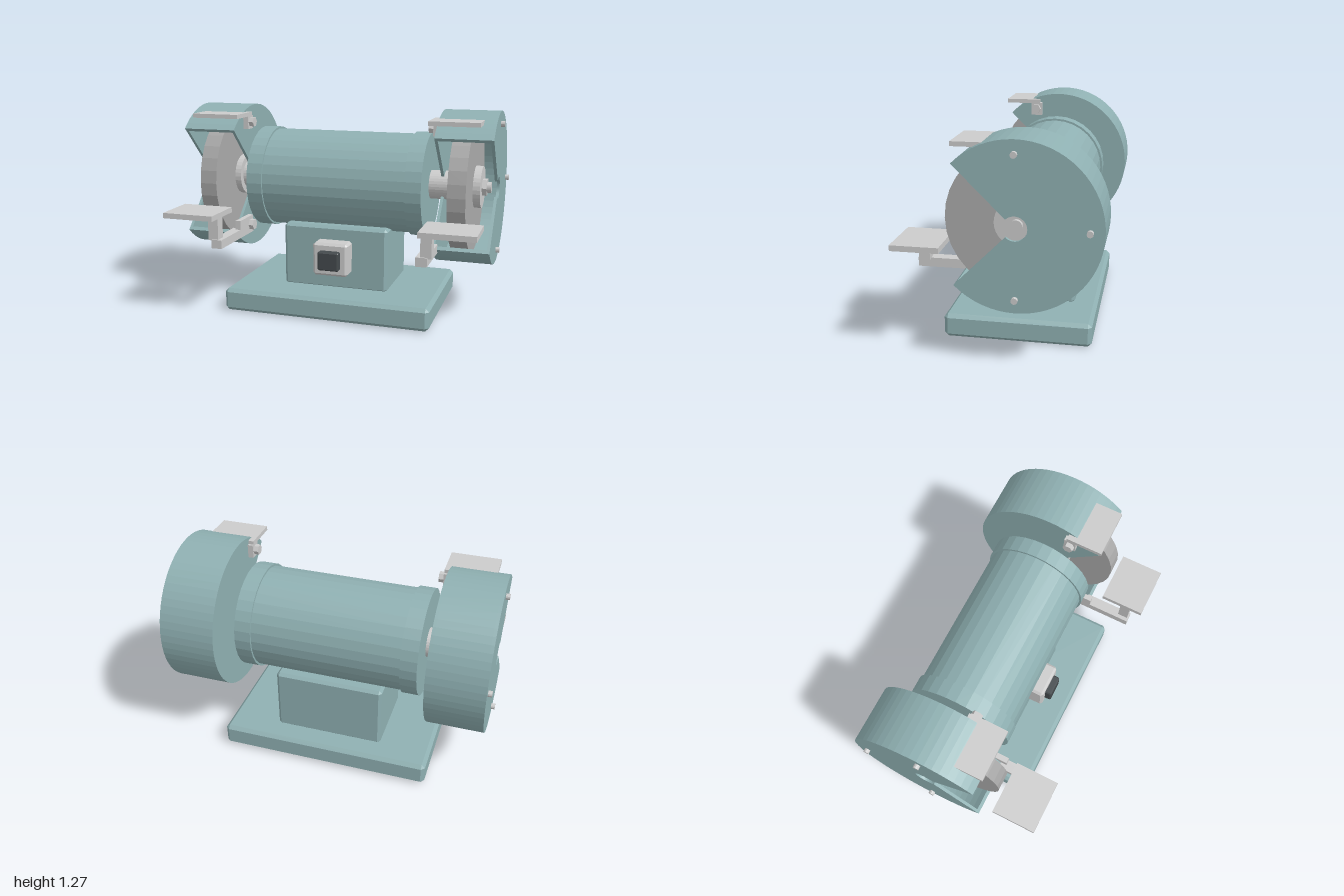
import * as THREE from 'three';
import { ConvexGeometry } from 'three/addons/geometries/ConvexGeometry.js';

const paint = (color) => new THREE.MeshStandardMaterial({ color, flatShading: true });
const GREY = paint(0xcccccc), STONE = paint(0xaaaaaa), TEAL = paint(0x8fb0b2), DARK = paint(0x444a4d);
const AXIS_Y = 0.8, AXIS_Z = -0.11;

function add(parent, name, geometry, material) {
  const mesh = new THREE.Mesh(geometry, material);
  mesh.name = name;
  parent.add(mesh);
  return mesh;
}

// Box given by its limits on each axis
function box(parent, name, [x0, x1], [y0, y1], [z0, z1], material = GREY) {
  const g = new THREE.BoxGeometry(Math.abs(x1 - x0), y1 - y0, z1 - z0);
  return add(parent, name, g.translate((x0 + x1) / 2, (y0 + y1) / 2, (z0 + z1) / 2), material);
}

// Box with all twelve edges chamfered by c
function chamferBox(parent, name, [x0, x1], [y0, y1], [z0, z1], c, material) {
  const h = [(x1 - x0) / 2, (y1 - y0) / 2, (z1 - z0) / 2];
  const points = [];
  for (const sx of [-1, 1]) for (const sy of [-1, 1]) for (const sz of [-1, 1])
    for (let full = 0; full < 3; full++) {
      const [x, y, z] = h.map((v, i) => (i === full ? v : v - c));
      points.push(new THREE.Vector3(sx * x, sy * y, sz * z));
    }
  const g = new ConvexGeometry(points);
  return add(parent, name, g.translate((x0 + x1) / 2, (y0 + y1) / 2, (z0 + z1) / 2), material);
}

// Cylinder lying along x
function rod(parent, name, x0, x1, r, material, sides = 32, y = AXIS_Y, z = AXIS_Z) {
  const g = new THREE.CylinderGeometry(r, r, Math.abs(x1 - x0), sides).rotateZ(Math.PI / 2);
  return add(parent, name, g.translate((x0 + x1) / 2, y, z), material);
}

// Three-quarter ring about the axle, open towards the front
function sector(parent, name, x0, x1, outer, inner) {
  const a = Math.PI / 4, b = Math.PI * 7 / 4;
  const shape = new THREE.Shape();
  shape.absarc(0, 0, outer, a, b, false);
  shape.absarc(0, 0, inner, b, a, true);
  shape.closePath();
  const depth = Math.abs(x1 - x0);
  const g = new THREE.ExtrudeGeometry(shape, { depth, bevelEnabled: false, curveSegments: 24 });
  g.rotateY(-Math.PI / 2).translate(Math.max(x0, x1), AXIS_Y, AXIS_Z);
  return add(parent, name, g, TEAL);
}

function createSide(s) {
  const side = new THREE.Group();
  side.name = s > 0 ? 'leftGrinder' : 'rightGrinder';
  const X = (a, b) => [s * a, s * b];

  // Spindle, wheel and clamping hardware
  rod(side, 'spindle', ...X(0.55, 0.7), 0.09, GREY);
  rod(side, 'wheelFlange', ...X(0.69, 0.882), 0.13, GREY);
  rod(side, 'grindingWheel', ...X(0.73, 0.838), 0.41, STONE);
  rod(side, 'spindleNut', ...X(0.88, 0.91), 0.056, GREY, 6);
  rod(side, 'spindleEnd', ...X(0.9, 0.935), 0.034, GREY, 20);

  // Wheel guard: two side plates and a rim
  sector(side, 'guardInnerPlate', ...X(0.634, 0.652), 0.47, 0.068);
  sector(side, 'guardOuterPlate', ...X(0.959, 0.977), 0.47, 0.068);
  sector(side, 'guardRim', ...X(0.652, 0.959), 0.47, 0.445);
  for (const [dy, dz] of [[0.393, 0], [0, -0.393], [-0.393, 0]])
    rod(side, 'guardScrew', ...X(0.97, 1), 0.018, GREY, 12, AXIS_Y + dy, AXIS_Z + dz);

  // Tool rest on its arm
  box(side, 'toolRestTable', X(0.623, 0.95), [0.627, 0.66], [0.31, 0.585]);
  box(side, 'toolRestPost', X(0.625, 0.69), [0.49, 0.63], [0.44, 0.505]);
  box(side, 'toolRestArm', X(0.6, 0.667), [0.443, 0.497], [0.2, 0.515]);
  box(side, 'toolRestBracket', X(0.6, 0.634), [0.443, 0.555], [0.04, 0.24]);
  rod(side, 'toolRestBolt', ...X(0.57, 0.6), 0.036, GREY, 6, 0.5, 0.08);

  // Spark shield above the opening
  box(side, 'sparkShield', X(0.6, 0.902), [1.206, 1.232], [0.02, 0.245]);
  box(side, 'sparkShieldBracket', X(0.6, 0.634), [1.125, 1.21], [0.005, 0.08]);
  rod(side, 'sparkShieldBolt', ...X(0.57, 0.6), 0.032, GREY, 6, 1.17, 0.042);
  return side;
}

export function createModel() {
  const model = new THREE.Group();
  model.name = 'benchGrinder';

  // Base and pedestal
  chamferBox(model, 'base', [-0.658, 0.658], [0, 0.143], [-0.493, 0.38], 0.022, TEAL);
  chamferBox(model, 'pedestal', [-0.34, 0.34], [0.13, 0.54], [-0.356, 0.134], 0.018, TEAL);

  // Motor housing with end caps
  rod(model, 'motorBody', -0.47, 0.47, 0.314, TEAL);
  for (const s of [-1, 1]) rod(model, 'motorEndCap', s * 0.46, s * 0.561, 0.327, TEAL);

  // Power switch
  chamferBox(model, 'switchPlate', [-0.113, 0.113], [0.243, 0.453], [0.12, 0.236], 0.015, GREY);
  chamferBox(model, 'switchButton', [-0.068, 0.068], [0.288, 0.407], [0.225, 0.278], 0.008, DARK);

  for (const s of [-1, 1]) model.add(createSide(s));
  return model;
}
